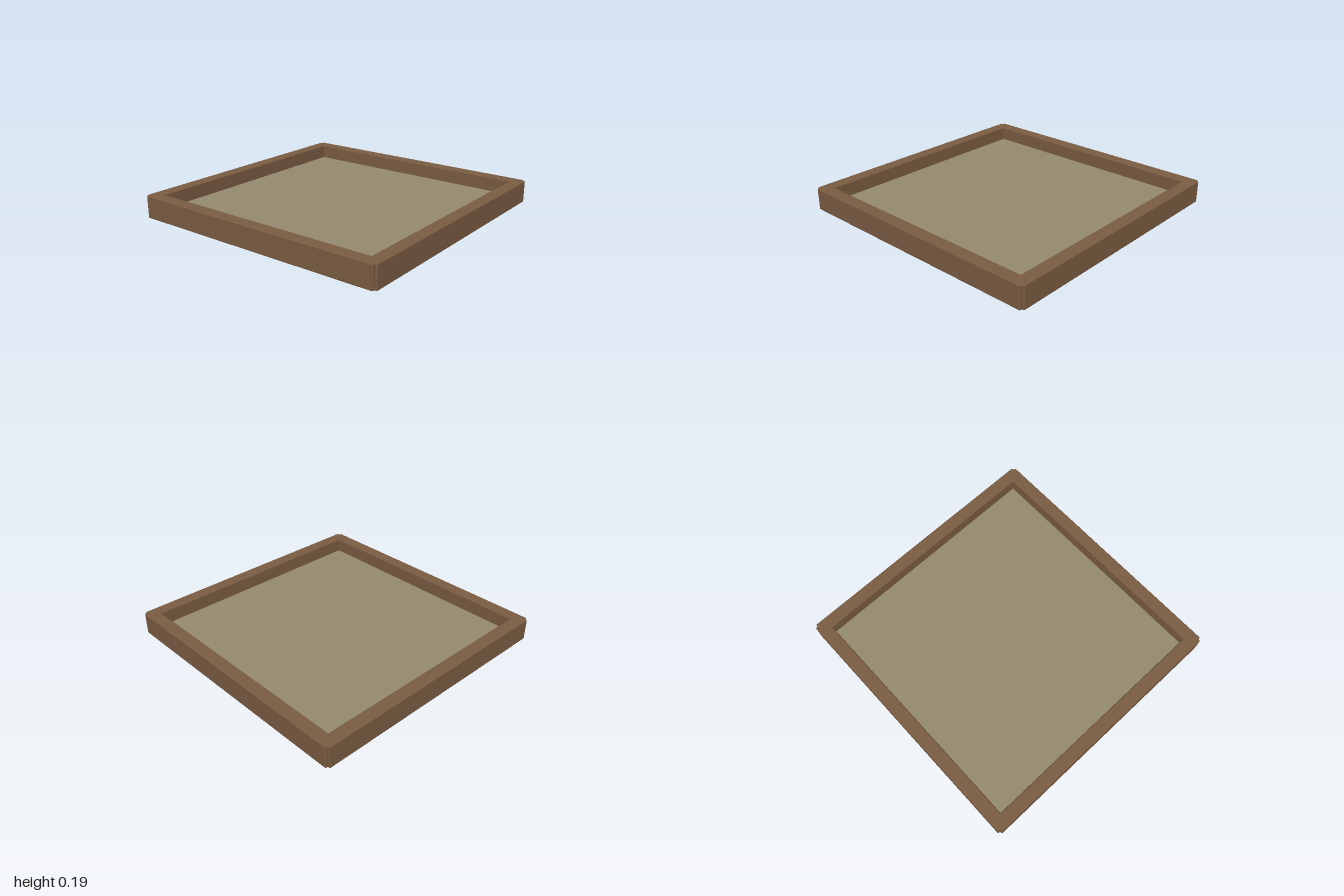
import * as THREE from 'three';
import { RoundedBoxGeometry } from 'three/addons/geometries/RoundedBoxGeometry.js';

export function createModel() {
  const model = new THREE.Group();
  model.name = 'framedTray';
  const wood = new THREE.MeshStandardMaterial({ color: 0x7a5c42 });
  const sand = new THREE.MeshStandardMaterial({ color: 0x958b70 });

  // Four softly bevelled rails, overlapping at the corners and leaving a small notch
  const width = 0.095, bottom = 0.02, top = 0.187, length = 1.965;
  const railGeometry = new RoundedBoxGeometry(length, top - bottom, width, 2, 0.008);
  ['frontRail', 'leftRail', 'backRail', 'rightRail'].forEach((name, i) => {
    const angle = i * Math.PI / 2;
    const rail = new THREE.Mesh(railGeometry, wood);
    rail.name = name;
    rail.rotation.y = angle;
    const offset = 1 - width / 2;
    rail.position.set(Math.sin(angle) * offset, (top + bottom) / 2, Math.cos(angle) * offset);
    model.add(rail);
  });

  // Floor slab, tucked under the rails and standing slightly below them
  const floorHeight = 0.08;
  const floor = new THREE.Mesh(new THREE.BoxGeometry(1.83, floorHeight, 1.83), sand);
  floor.name = 'floor';
  floor.position.y = floorHeight / 2;
  model.add(floor);

  return model;
}
